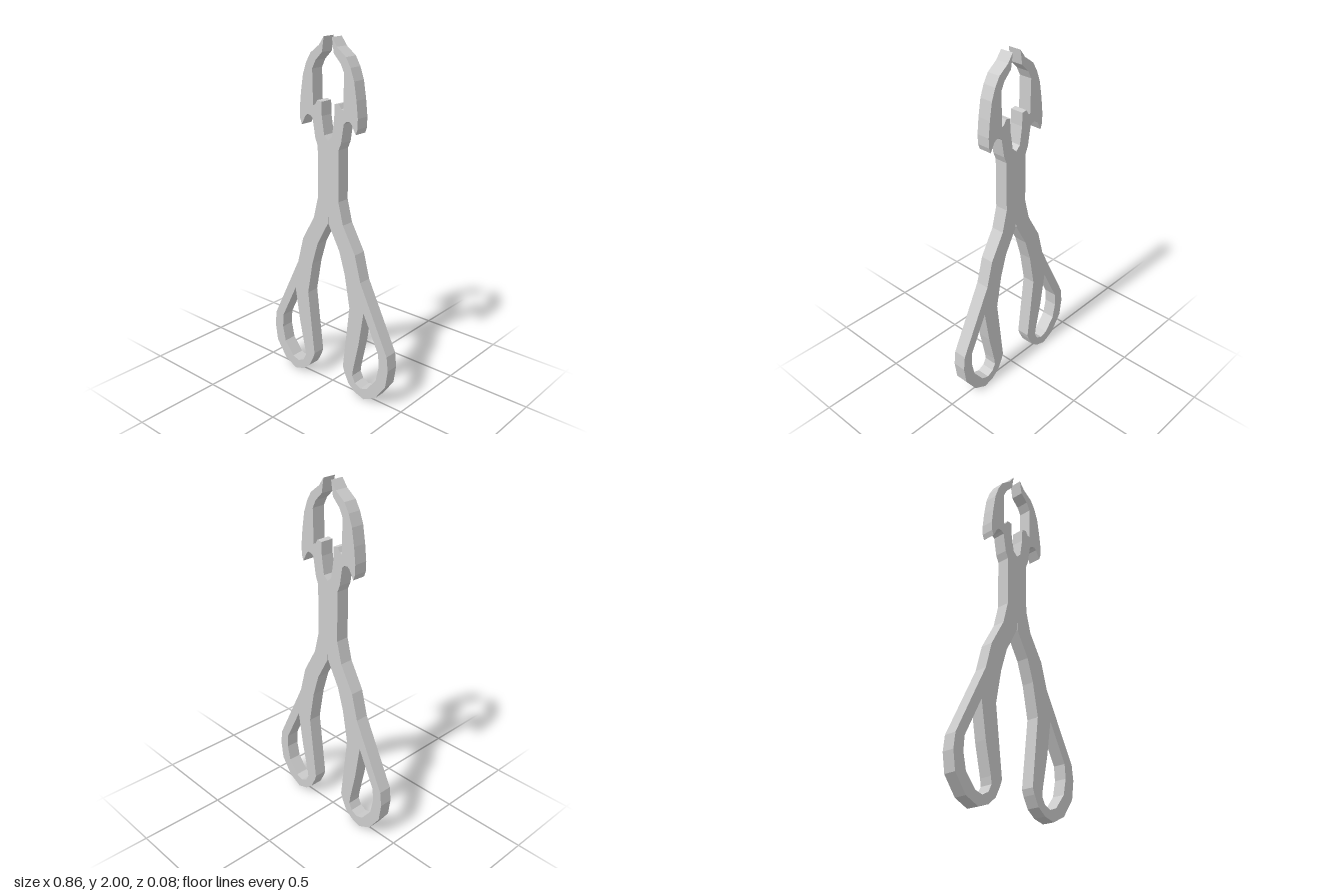
import * as THREE from 'three';

const DEPTH = 0.077;

// Right half of the outline, from the notch between the jaws round to the crotch
const jaw = [
  [0, 1.465], [0.027, 1.49], [0.043, 1.59], [0.045, 1.665], [0.075, 1.67], [0.09, 1.645],
  [0.104, 1.64], [0.108, 1.83], [0.085, 1.875], [0.04, 1.92], [0.027, 2.0],
  [0.06, 1.955], [0.12, 1.91], [0.15, 1.86], [0.174, 1.795], [0.19, 1.7], [0.2, 1.61],
  [0.198, 1.555], [0.187, 1.525], [0.16, 1.575], [0.145, 1.587], [0.122, 1.583],
  [0.108, 1.57], [0.09, 1.465], [0.073, 1.425],
];
const leg = [
  [0.073, 1.14], [0.105, 1.015], [0.19, 0.865], [0.23, 0.715], [0.42, 0.33], [0.43, 0.245],
  [0.415, 0.14], [0.345, 0.04], [0.265, 0], [0.2, 0.02], [0.152, 0.06], [0.122, 0.12],
  [0.11, 0.155], [0.155, 0.54], [0.12, 0.73], [0.08, 0.86], [0.003, 1.0], [0, 1.05],
];
// Finger loop opening in the right handle, wound against the outline
const opening = [
  [0.223, 0.335], [0.185, 0.16], [0.18, 0.12], [0.2, 0.08], [0.24, 0.06], [0.285, 0.075],
  [0.348, 0.155], [0.367, 0.245], [0.362, 0.325], [0.255, 0.54],
];

const mirror = (pts) => pts.map(([x, y]) => [-x, y]).reverse();
const vectors = (pts) => pts.map(([x, y]) => new THREE.Vector2(x, y));

export function createModel() {
  const group = new THREE.Group();
  group.name = 'tongs';

  // Complete flat outline: right half, then its mirror without the shared centre points
  const half = [...jaw, ...leg];
  const shape = new THREE.Shape(vectors([...half, ...mirror(half).slice(1, -1)]));
  for (const loop of [opening, mirror(opening)]) {
    shape.holes.push(new THREE.Path(vectors(loop)));
  }

  // One plate of constant thickness with crisp edges
  const geometry = new THREE.ExtrudeGeometry(shape, { depth: DEPTH, bevelEnabled: false });
  geometry.translate(0, 0, -DEPTH / 2);
  const body = new THREE.Mesh(
    geometry,
    new THREE.MeshStandardMaterial({ color: 0xcccccc, flatShading: true }),
  );
  body.name = 'jawsAndLoopHandles';
  group.add(body);
  return group;
}
